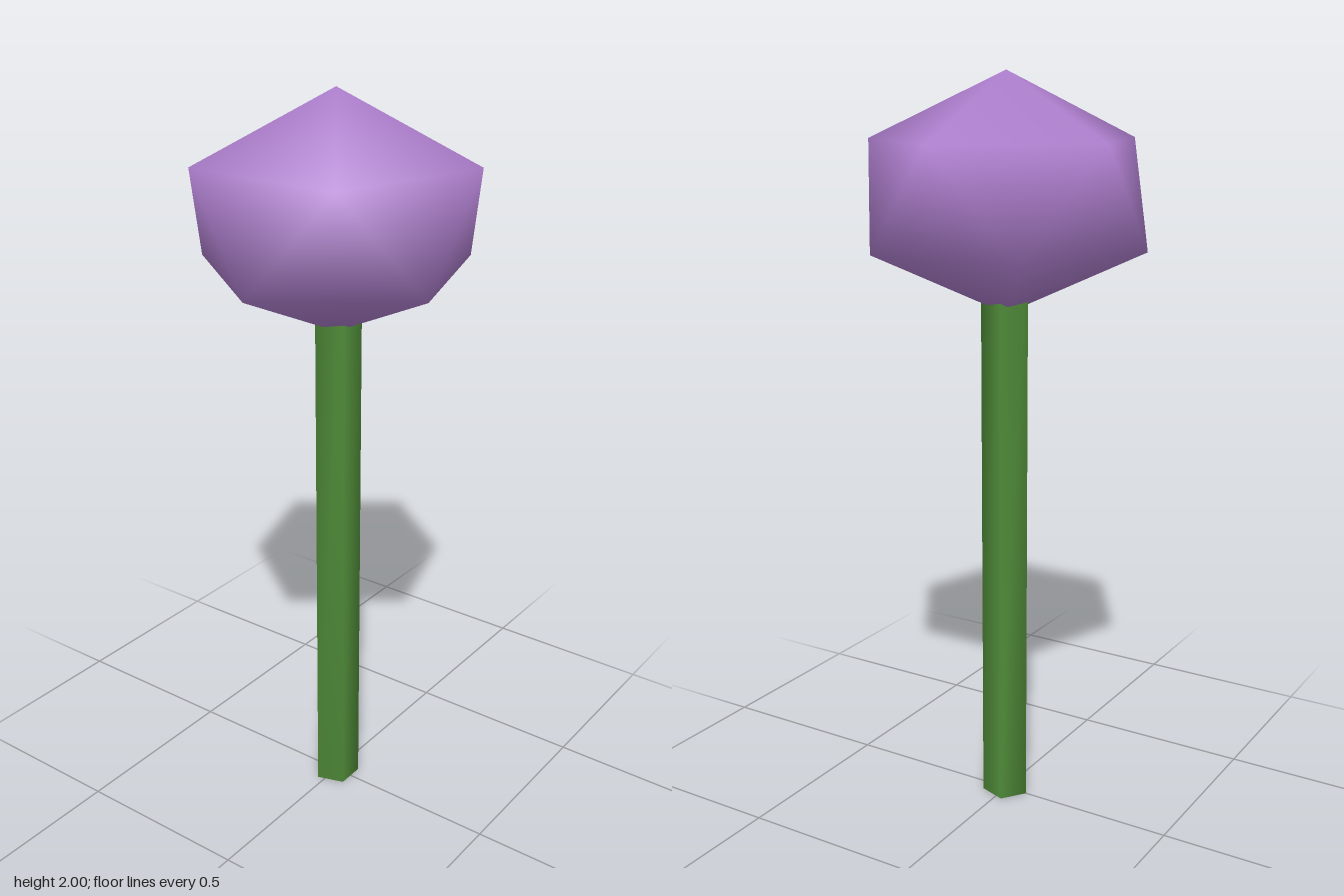
import * as THREE from 'three';
import { mergeVertices } from 'three/addons/utils/BufferGeometryUtils.js';
import { ConvexGeometry } from 'three/addons/geometries/ConvexGeometry.js';

// Weld all corners so the normals blend over every edge
function smooth(geometry) {
  geometry.deleteAttribute('normal');
  geometry.deleteAttribute('uv');
  const welded = mergeVertices(geometry, 1e-4);
  welded.computeVertexNormals();
  return welded;
}

function part(name, geometry, color) {
  const mesh = new THREE.Mesh(smooth(geometry), new THREE.MeshStandardMaterial({ color }));
  mesh.name = name;
  return mesh;
}

export function createModel() {
  const group = new THREE.Group();
  group.name = 'flower';

  // Five-sided stem, running up into the flower head
  const stemTop = 1.69;
  const stem = new THREE.CylinderGeometry(0.066, 0.066, stemTop, 5, 1);
  stem.rotateY(Math.PI);
  stem.translate(0, stemTop / 2, 0);
  group.add(part('stem', stem, 0x4f8a38));

  // Flower head: a flattened icosahedron standing on one of its points
  const centre = 1.692, halfHeight = 0.308, ringRadius = 0.368;
  const ringHeight = halfHeight / Math.sqrt(5);
  const points = [
    new THREE.Vector3(0, centre + halfHeight, 0),
    new THREE.Vector3(0, centre - halfHeight, 0),
  ];
  for (let i = 0; i < 10; i++) {
    const a = (i * Math.PI) / 5;
    const y = centre + (i % 2 ? -ringHeight : ringHeight);
    points.push(new THREE.Vector3(Math.cos(a) * ringRadius, y, Math.sin(a) * ringRadius));
  }
  group.add(part('flowerHead', new ConvexGeometry(points), 0xb080d0));

  return group;
}
